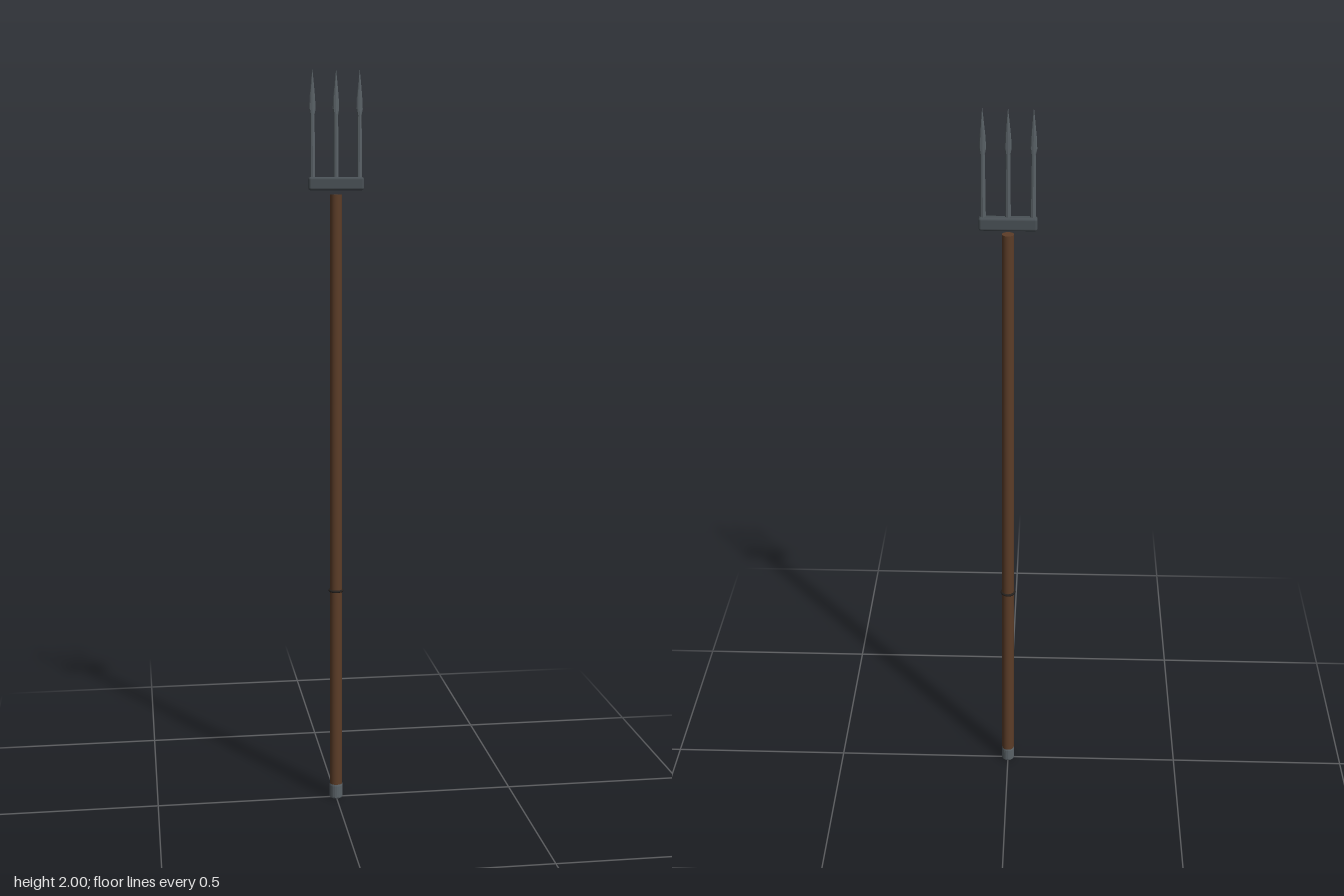
import * as THREE from 'three';
import { RoundedBoxGeometry } from 'three/addons/geometries/RoundedBoxGeometry.js';

const wood = new THREE.MeshStandardMaterial({ color: 0x5c3d28 });
const steel = new THREE.MeshStandardMaterial({ color: 0x495055 });
const flatSteel = new THREE.MeshStandardMaterial({ color: 0x5a6267, flatShading: true });
const dark = new THREE.MeshStandardMaterial({ color: 0x26221f });

function part(name, geometry, material, x = 0, y = 0, z = 0) {
  const mesh = new THREE.Mesh(geometry, material);
  mesh.name = name;
  mesh.position.set(x, y, z);
  return mesh;
}

// Lofted tine: rings of [y, left x, right x, half depth], closed to a point
function tineGeometry() {
  const rings = [
    [1.715, -0.007, 0.007, 0.006],
    [1.80, -0.0065, 0.0065, 0.0055],
    [1.885, -0.0055, 0.0055, 0.0045],
    [1.90, -0.009, 0.0085, 0.004],
    [1.93, -0.0075, 0.007, 0.0035],
    [1.965, -0.004, 0.004, 0.0025],
    [2.0, -0.0003, 0.0003, 0.0003],
  ];
  const n = 8, pos = [], index = [];
  for (const [y, l, r, d] of rings) {
    for (let i = 0; i < n; i++) {
      const a = (i / n) * Math.PI * 2;
      pos.push((l + r) / 2 + ((r - l) / 2) * Math.cos(a), y, d * Math.sin(a));
    }
  }
  for (let k = 0; k < rings.length - 1; k++) {
    for (let i = 0; i < n; i++) {
      const a = k * n + i, b = k * n + ((i + 1) % n);
      index.push(a, a + n, b, b, a + n, b + n);
    }
  }
  const g = new THREE.BufferGeometry();
  g.setAttribute('position', new THREE.Float32BufferAttribute(pos, 3));
  g.setIndex(index);
  g.computeVertexNormals();
  return g;
}

export function createModel() {
  const model = new THREE.Group();
  model.name = 'threeProngedFork';

  // Slightly tapered wooden pole
  model.add(part('shaft', new THREE.CylinderGeometry(0.0155, 0.0175, 1.64, 20), wood, 0, 0.86));

  // Thin binding around the pole
  const ring = new THREE.TorusGeometry(0.0175, 0.0035, 8, 24).rotateX(Math.PI / 2);
  model.add(part('bindingRing', ring, dark, 0, 0.603));

  // Metal cap on the foot
  const cap = [[0, 0], [0.017, 0], [0.0185, 0.003], [0.0185, 0.036], [0.0165, 0.046], [0, 0.046]];
  const capGeometry = new THREE.LatheGeometry(cap.map(([r, y]) => new THREE.Vector2(r, y)), 20);
  model.add(part('footCap', capGeometry, flatSteel));

  // Head: rounded crossbar carrying three pointed tines
  const head = new THREE.Group();
  head.name = 'forkHead';
  head.add(part('crossbar', new RoundedBoxGeometry(0.147, 0.035, 0.024, 3, 0.007), steel, 0, 1.7085));
  const tine = tineGeometry();
  ['rightTine', 'middleTine', 'leftTine'].forEach((name, i) => {
    head.add(part(name, tine, flatSteel, (i - 1) * 0.062));
  });
  model.add(head);

  return model;
}
